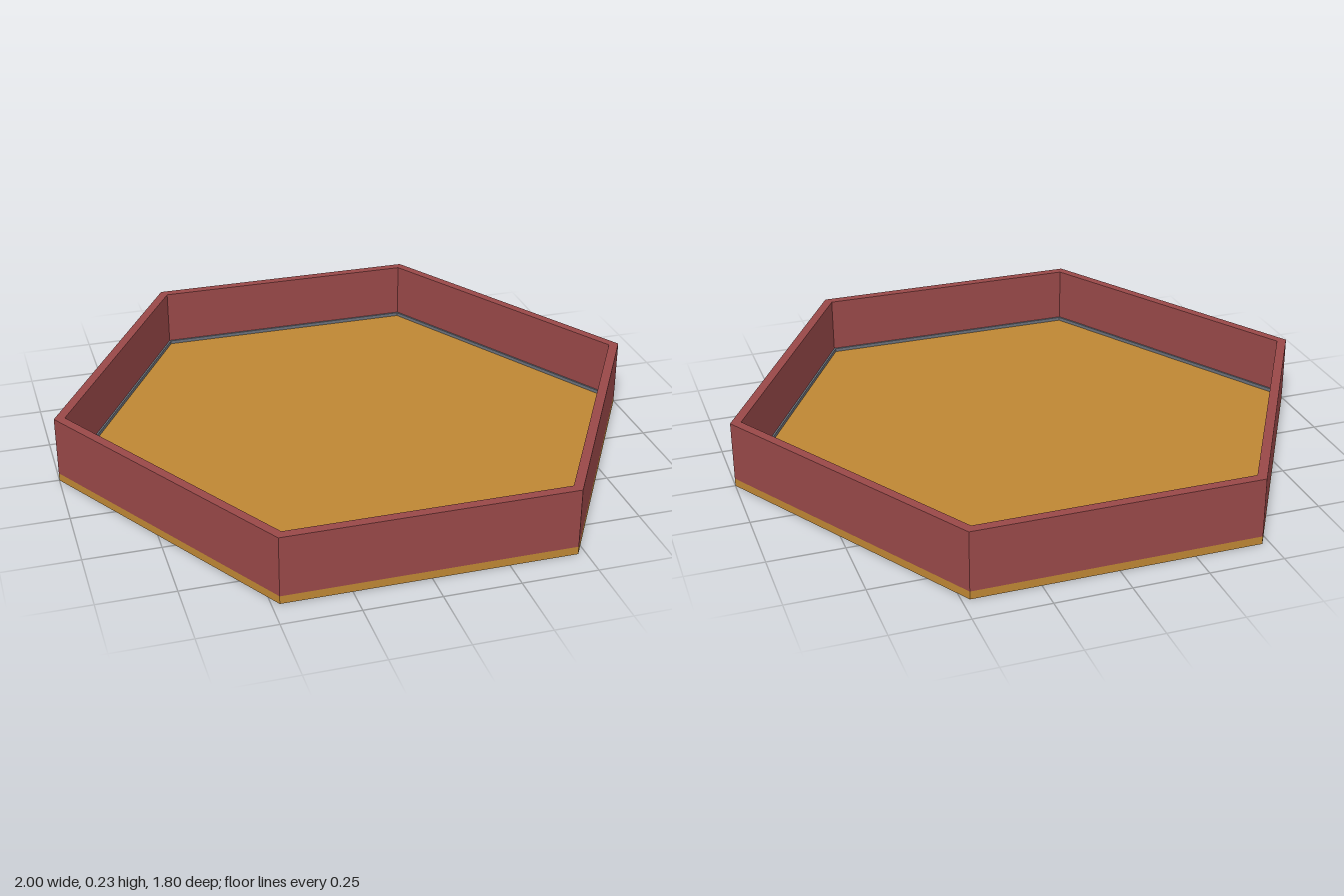
import * as THREE from 'three';

const FLOOR_TOP = 0.027;
const RIM_TOP = 0.23;

// Stretched hexagon: points at +-x, flat edges at +-z
function hexPoints(x, cornerX, z) {
  return [[x, 0], [cornerX, z], [-cornerX, z], [-x, 0], [-cornerX, -z], [cornerX, -z]]
    .map(([px, py]) => new THREE.Vector2(px, py));
}

// Flat-sided prism standing from y0 to y1, with an optional hexagonal hole
function prism(name, outer, hole, y0, y1, color) {
  const shape = new THREE.Shape(outer);
  if (hole) shape.holes.push(new THREE.Path(hole));
  const geometry = new THREE.ExtrudeGeometry(shape, { depth: y1 - y0, bevelEnabled: false });
  geometry.rotateX(-Math.PI / 2);
  geometry.translate(0, y0, 0);
  const mesh = new THREE.Mesh(geometry, new THREE.MeshStandardMaterial({ color, flatShading: true }));
  mesh.name = name;
  return mesh;
}

export function createModel() {
  const group = new THREE.Group();
  group.name = 'hexagonalTray';

  const outer = hexPoints(1, 0.475, 0.9);
  const inner = hexPoints(0.964, 0.458, 0.868);
  const trimInner = hexPoints(0.957, 0.454, 0.862);

  group.add(
    // Base plate under the whole tray
    prism('basePlate', outer, null, 0, FLOOR_TOP, 0xbe8634),
    // Upright wall around the edge
    prism('rimWall', outer, inner, FLOOR_TOP, RIM_TOP, 0x984848),
    // Thin strip where wall meets floor
    prism('floorTrim', inner, trimInner, FLOOR_TOP, FLOOR_TOP + 0.012, 0x6a707a),
  );
  return group;
}
